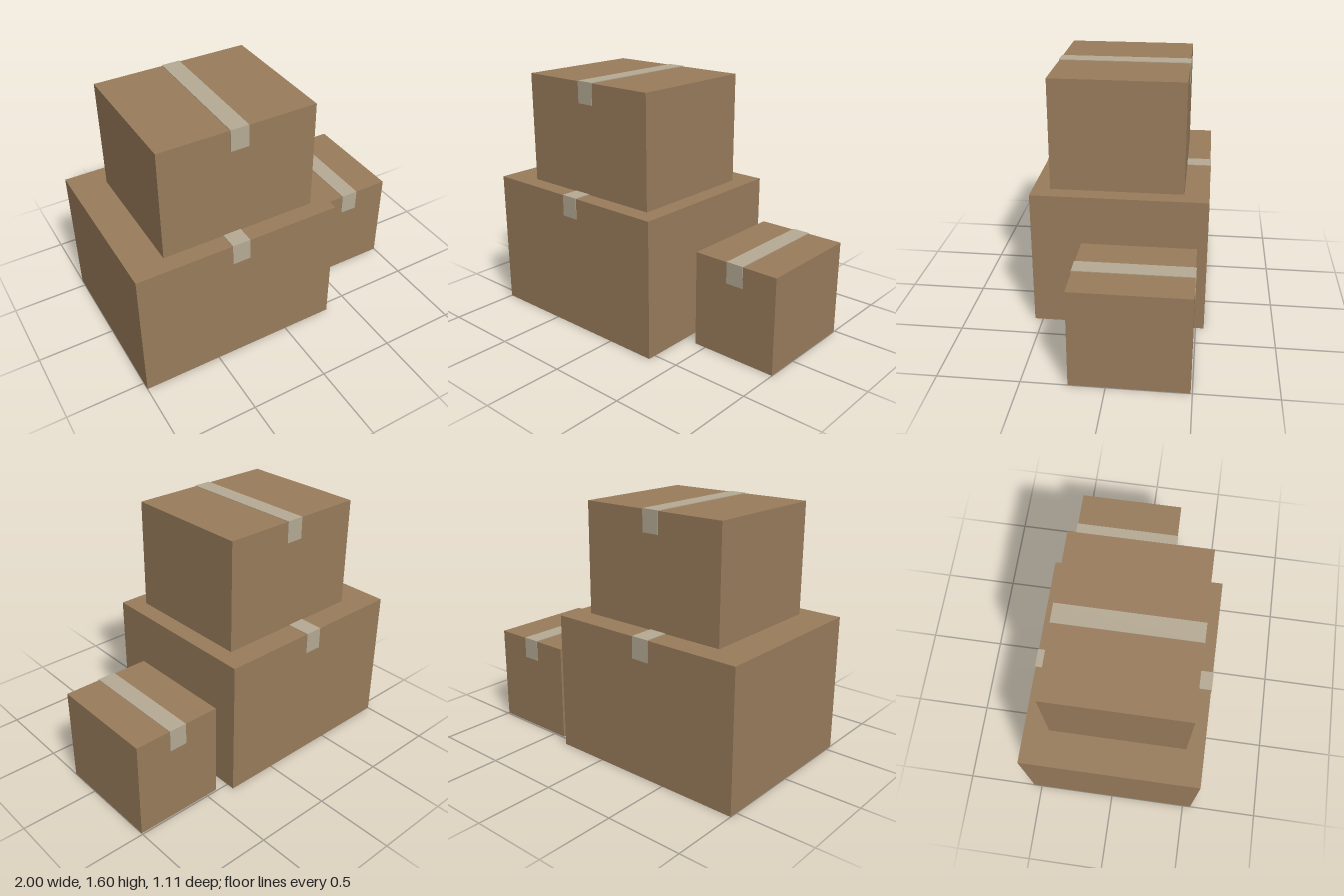
import * as THREE from 'three';

const TAPE_WIDTH = 0.116, TAPE_DROP = 0.135, TAPE_THICK = 0.004;

export function createModel() {
  const cardboard = new THREE.MeshStandardMaterial({ name: 'cardboard', color: 0x997c5c });
  const tape = new THREE.MeshStandardMaterial({ name: 'packing tape', color: 0xb5aa94 });

  const block = (name, material, size, position) => {
    const mesh = new THREE.Mesh(new THREE.BoxGeometry(...size), material);
    mesh.name = name;
    mesh.position.set(...position);
    return mesh;
  };

  // A closed carton standing on its group's origin, with tape over the top seam
  const carton = (name, [w, h, d], position) => {
    const group = new THREE.Group();
    group.name = name;
    group.position.set(...position);
    group.add(block('carton', cardboard, [w, h, d], [0, h / 2, 0]));
    group.add(block('topTape', tape, [TAPE_WIDTH, TAPE_THICK, d + 2 * TAPE_THICK], [0, h + TAPE_THICK / 2, 0]));
    // Tape ends folded down the front and back
    for (const side of [1, -1]) {
      group.add(block(side > 0 ? 'frontTapeEnd' : 'backTapeEnd', tape,
        [TAPE_WIDTH, TAPE_DROP, TAPE_THICK],
        [0, h - TAPE_DROP / 2, side * (d + TAPE_THICK) / 2]));
    }
    return group;
  };

  const model = new THREE.Group();
  model.name = 'cardboardBoxes';
  model.add(
    carton('largeBox', [1.333, 0.889, 1.106], [-0.3335, 0, 0]),
    carton('stackedBox', [1.0, 0.711, 0.84], [-0.279, 0.889, 0.022]),
    carton('smallBox', [0.577, 0.622, 0.71], [0.7105, 0, -0.135]),
  );
  return model;
}
